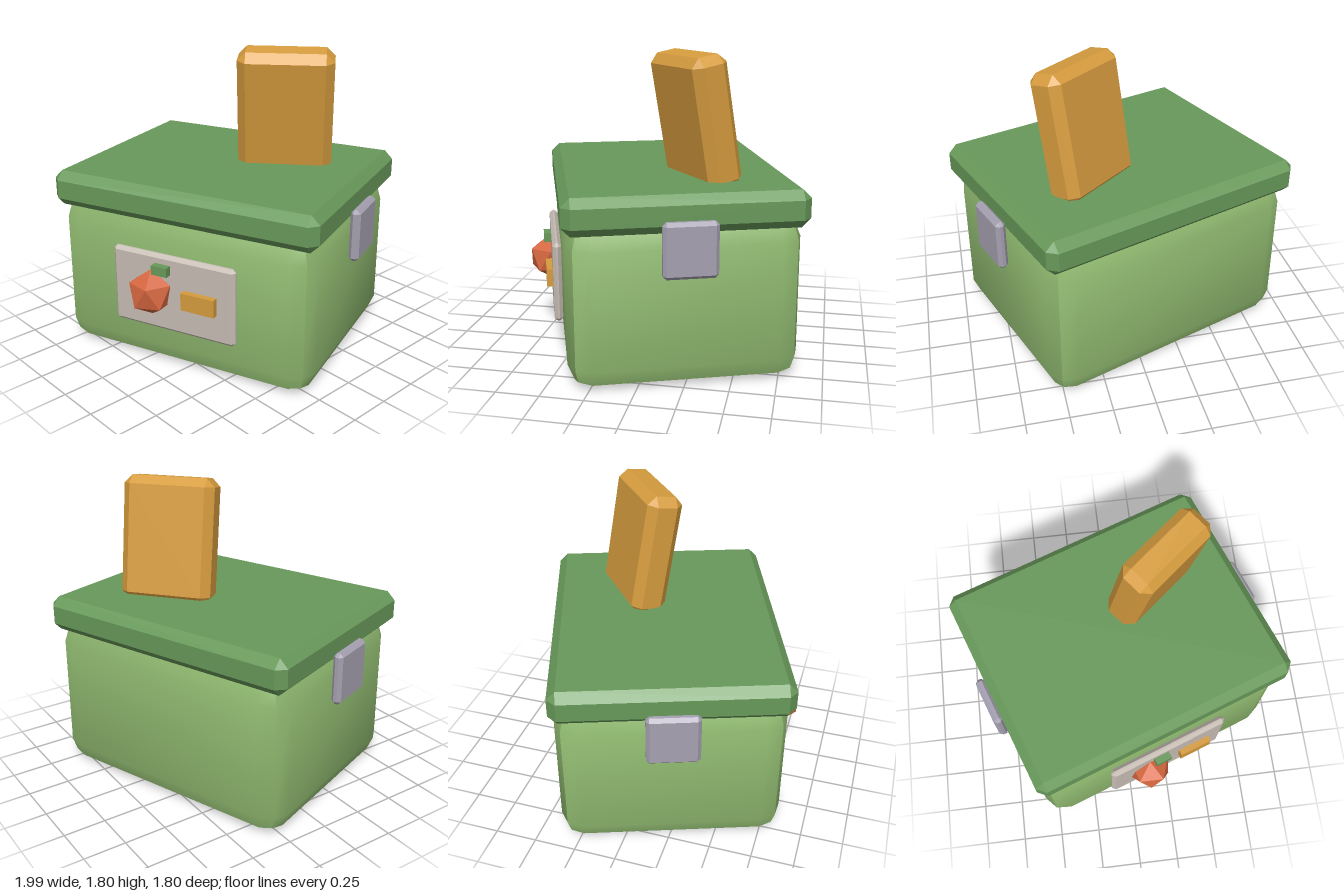
import * as THREE from 'three';
import { toCreasedNormals } from 'three/addons/utils/BufferGeometryUtils.js';
import { RoundedBoxGeometry } from 'three/addons/geometries/RoundedBoxGeometry.js';
import { ConvexGeometry } from 'three/addons/geometries/ConvexGeometry.js';

const material = (name, color) => {
  const m = new THREE.MeshStandardMaterial({ color });
  m.name = name;
  return m;
};

// Box with every edge cut by a single flat chamfer
function chamferBox(w, h, d, c) {
  const points = [];
  const [x, y, z] = [w / 2, h / 2, d / 2];
  for (const i of [-1, 1]) for (const j of [-1, 1]) for (const k of [-1, 1]) {
    points.push(
      new THREE.Vector3(i * x, j * (y - c), k * (z - c)),
      new THREE.Vector3(i * (x - c), j * y, k * (z - c)),
      new THREE.Vector3(i * (x - c), j * (y - c), k * z));
  }
  return new ConvexGeometry(points);
}

function add(parent, name, geometry, mat, x, y, z) {
  const mesh = new THREE.Mesh(geometry, mat);
  mesh.name = name;
  mesh.position.set(x, y, z);
  parent.add(mesh);
  return mesh;
}

export function createModel() {
  const lightGreen = material('light green', 0x90ba70);
  const green = material('green', 0x68995a);
  const amber = material('amber', 0xd69c3e);
  const stone = material('pale stone', 0xc6bcb3);
  const metal = material('grey metal', 0xa5a0b0);
  const red = material('orange red', 0xd4663f);

  const model = new THREE.Group();
  model.name = 'lidded box';

  // The box stands turned on its base
  const box = new THREE.Group();
  box.name = 'box';
  box.rotation.y = THREE.MathUtils.degToRad(20);
  model.add(box);

  // Body with softly rounded edges, and the overhanging lid
  const bodyShape = new RoundedBoxGeometry(1.61, 0.94, 1.3, 1, 0.13);
  add(box, 'body', toCreasedNormals(bodyShape, 0.6), lightGreen, 0, 0.47, 0);
  add(box, 'lid', chamferBox(1.67, 0.21, 1.34, 0.05), green, 0, 0.995, 0);

  // Side clasps
  for (const side of [-1, 1]) {
    add(box, side > 0 ? 'leftClasp' : 'rightClasp',
      chamferBox(0.06, 0.31, 0.3, 0.02), metal, side * 0.86, 0.815, 0);
  }

  // Front plate with its raised marks
  add(box, 'frontPlate', chamferBox(0.78, 0.47, 0.05, 0.02), stone, 0, 0.5, 0.682);
  add(box, 'plateBar', new THREE.BoxGeometry(0.208, 0.105, 0.045), amber, 0.179, 0.498, 0.721);
  add(box, 'stem', new THREE.BoxGeometry(0.1, 0.055, 0.045), green, -0.058, 0.655, 0.727);

  // Faceted fruit, standing on one point
  const fruit = new THREE.IcosahedronGeometry(0.14, 0);
  fruit.rotateX(-Math.atan((1 + Math.sqrt(5)) / 2));
  fruit.rotateY(Math.PI);
  add(model, 'fruit', fruit, red, 0.115, 0.498, 0.71);

  // Leaning slab pushed into the lid
  const slab = add(model, 'slab', chamferBox(0.56, 0.75, 0.22, 0.05), amber, 0.249, 1.42, -0.224);
  slab.rotation.set(THREE.MathUtils.degToRad(10), THREE.MathUtils.degToRad(40), 0, 'YXZ');

  return model;
}
